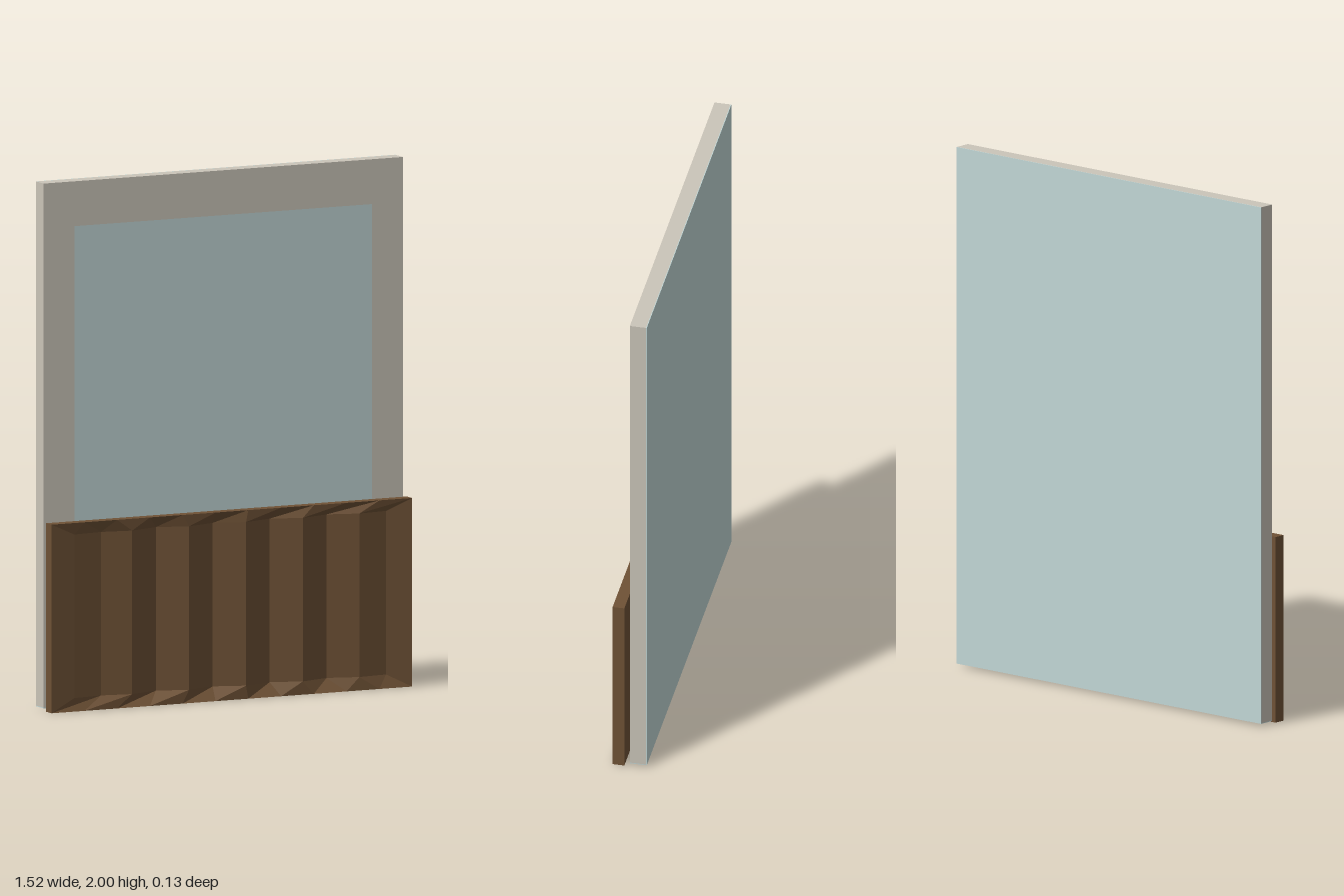
import * as THREE from 'three';

const mat = (color) => new THREE.MeshStandardMaterial({ color });

function box(name, material, x0, x1, y0, y1, z0, z1) {
  const mesh = new THREE.Mesh(new THREE.BoxGeometry(x1 - x0, y1 - y0, z1 - z0), material);
  mesh.position.set((x0 + x1) / 2, (y0 + y1) / 2, (z0 + z1) / 2);
  mesh.name = name;
  return mesh;
}

// Wooden panel: a flat back and rim with a pleated, recessed front
function pleatedGeometry() {
  const half = 0.76, top = 0.715, back = 0.02, front = 0.065, inner = 0.66;
  const depths = [0.057, 0.042, 0.064, 0.024, 0.064, 0.024, 0.064, 0.024, 0.064, 0.024, 0.06, 0.045];
  const n = depths.length;
  const pos = [];
  const quad = (a, b, c, d) => pos.push(...a, ...b, ...c, ...a, ...c, ...d);

  // One closed loop per column: up the front, over the top, down the back
  const loops = depths.map((z, i) => {
    const t = (2 * i) / (n - 1) - 1;
    const xo = t * half, xi = t * inner;
    return [
      [xo, 0, back], [xo, 0, front], [xi, 0.05, z],
      [xi, 0.67, z], [xo, top, front], [xo, top, back],
    ];
  });
  for (let i = 0; i < n - 1; i++) {
    const a = loops[i], b = loops[i + 1];
    for (let j = 0; j < 6; j++) {
      const k = (j + 1) % 6;
      quad(a[j], b[j], b[k], a[k]);
    }
  }
  // Outer sides and the inner slopes at both ends
  const l = loops[0], r = loops[n - 1];
  quad(l[0], l[1], l[4], l[5]);
  quad(l[1], l[2], l[3], l[4]);
  quad(r[1], r[0], r[5], r[4]);
  quad(r[2], r[1], r[4], r[3]);

  const geo = new THREE.BufferGeometry();
  geo.setAttribute('position', new THREE.Float32BufferAttribute(pos, 3));
  geo.computeVertexNormals();
  return geo;
}

export function createModel() {
  const group = new THREE.Group();
  group.name = 'framedPanel';
  const beige = mat(0xcbc5b9), glass = mat(0xc1d6d5), wood = mat(0x6f5236);
  const L = -0.76, R = 0.755, bottom = 0.01, top = 2, back = -0.065, skin = 0.003;
  const openL = -0.63, openR = 0.625, openTop = 1.83;

  // Frame around the pane, open at the bottom
  const outline = [
    [L, bottom + skin], [openL, bottom + skin], [openL, openTop], [openR, openTop],
    [openR, bottom + skin], [R, bottom + skin], [R, top], [L, top],
  ];
  const shape = new THREE.Shape(outline.map(([x, y]) => new THREE.Vector2(x, y)));
  const frame = new THREE.Mesh(
    new THREE.ExtrudeGeometry(shape, { depth: -back - skin, bevelEnabled: false }), beige);
  frame.position.z = back + skin;
  frame.name = 'frame';
  group.add(frame);

  // Pane flush with the frame, with backing and underside
  group.add(box('pane', glass, openL, openR, bottom + skin, openTop, back + skin, 0));
  group.add(box('backing', glass, L, R, bottom, top, back, back + skin));
  group.add(box('underside', glass, L, R, bottom, bottom + skin, back + skin, 0));

  // Pleated lower panel
  const panel = new THREE.Mesh(pleatedGeometry(), wood);
  panel.name = 'pleatedPanel';
  group.add(panel);

  return group;
}
